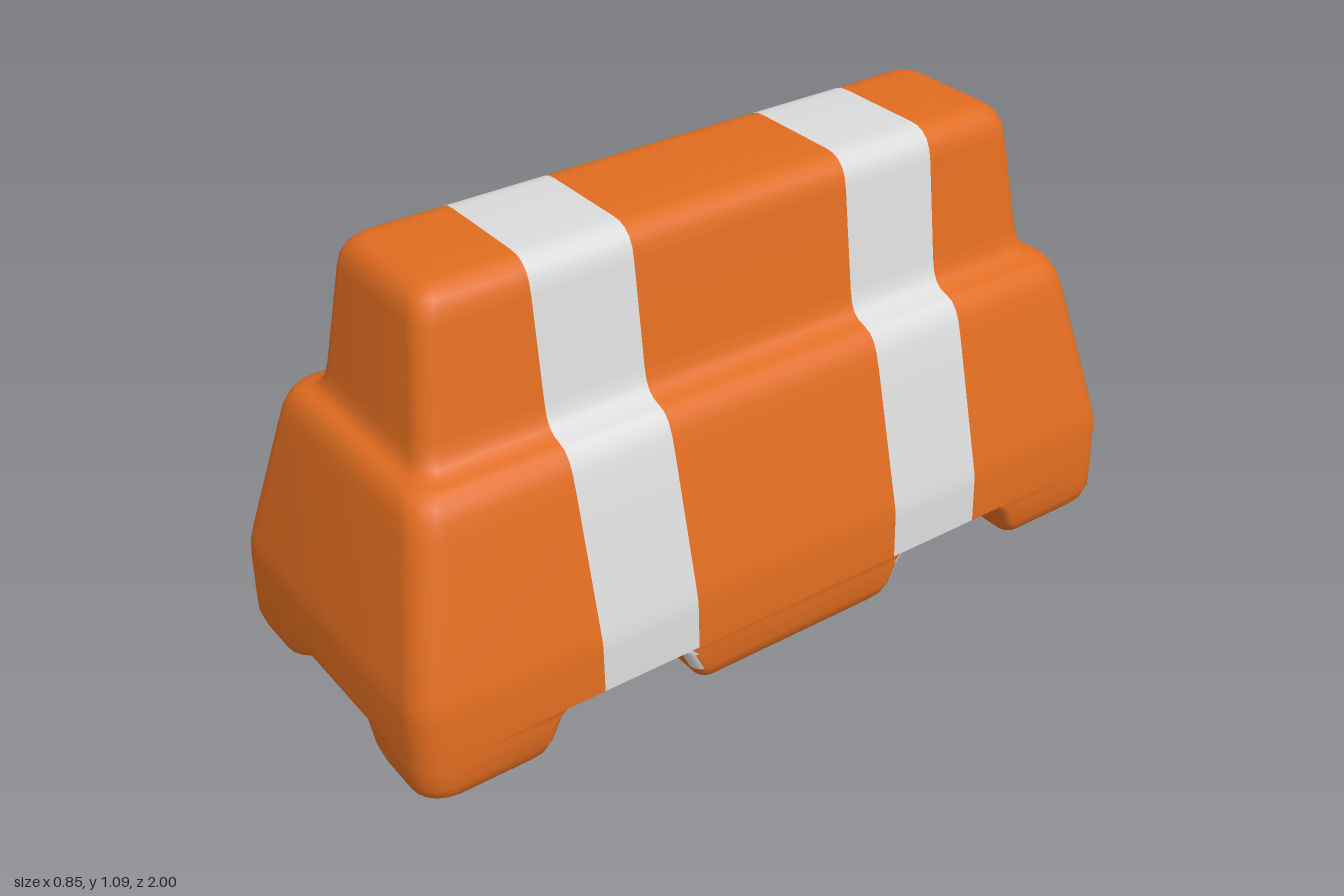
import * as THREE from 'three';
import { toCreasedNormals } from 'three/addons/utils/BufferGeometryUtils.js';

const STRIPE = [0.29, 0.545]; // z range of each reflective band
const ARC = 5;                // segments per rounded corner

// Rounded rectangle at height y: +x half from back to front, then its mirror.
function ring({ y, x0, x1, z0, z1, ra, rb }, cuts) {
  const half = [];
  for (let k = 0; k <= ARC; k++) {
    const a = (k / ARC) * Math.PI / 2;
    half.push([x1 - ra + ra * Math.sin(a), z0 + ra - ra * Math.cos(a)]);
  }
  cuts.forEach(z => half.push([x1, z]));
  for (let k = 0; k <= ARC; k++) {
    const a = (k / ARC) * Math.PI / 2;
    half.push([x1 - rb + rb * Math.cos(a), z1 - rb + rb * Math.sin(a)]);
  }
  const mirror = half.map(([x, z]) => [x0 + x1 - x, z]).reverse();
  return [...half, ...mirror].map(([x, z]) => new THREE.Vector3(x, y, z));
}

// Skin the rings from bottom to top, cap both ends, sort faces by colour.
function loft(name, rows, materials, cuts = []) {
  const rings = rows.map(r => ring(r, cuts));
  const n = rings[0].length, pts = rings.flat();
  const faces = [[], []];
  const quad = (a, b, c, d) => {
    const mid = [a, b, c, d].reduce((s, i) => s.add(pts[i]), new THREE.Vector3()).divideScalar(4);
    const z = Math.abs(mid.z);
    const band = z > STRIPE[0] && z < STRIPE[1] && (mid.y > 0.131 || Math.abs(mid.x) > 0.36);
    faces[band ? 1 : 0].push(a, b, c, a, c, d);
  };
  for (let j = 0; j < rings.length - 1; j++) {
    for (let i = 0; i < n; i++) {
      const k = (i + 1) % n, lo = j * n, hi = lo + n;
      quad(lo + i, hi + i, hi + k, lo + k);
    }
  }
  const top = (rings.length - 1) * n;
  for (let i = 0; i < n / 2 - 1; i++) {
    const m = n - 1 - i;
    quad(top + i, top + m, top + m - 1, top + i + 1);
    quad(i, i + 1, m - 1, m);
  }
  let geo = new THREE.BufferGeometry().setFromPoints(pts);
  geo.setIndex([...faces[0], ...faces[1]]);
  geo = toCreasedNormals(geo, 0.7);
  geo.clearGroups();
  geo.addGroup(0, faces[0].length, 0);
  if (faces[1].length) geo.addGroup(faces[0].length, faces[1].length, 1);
  const mesh = new THREE.Mesh(geo, materials);
  mesh.name = name;
  return mesh;
}

export function createModel() {
  const group = new THREE.Group();
  group.name = 'trafficBarrier';
  const orange = new THREE.MeshStandardMaterial({ color: 0xe06c20 });
  orange.name = 'orange plastic';
  const grey = new THREE.MeshStandardMaterial({ color: 0xdadada });
  grey.name = 'reflective light grey';
  const mats = [orange, grey];

  // Stepped body with the bands: y, half width, half length, corner radius
  const body = [
    [0.13, 0.424, 1.0, 0.07], [0.23, 0.421, 1.0, 0.07], [0.26, 0.419, 0.998, 0.07],
    [0.29, 0.412, 0.993, 0.07], [0.61, 0.333, 0.926, 0.07], [0.645, 0.323, 0.918, 0.07],
    [0.672, 0.311, 0.908, 0.07], [0.69, 0.295, 0.895, 0.065], [0.699, 0.274, 0.878, 0.06],
    [0.705, 0.255, 0.863, 0.055], [0.717, 0.24, 0.853, 0.05], [0.738, 0.229, 0.846, 0.05],
    [0.77, 0.222, 0.84, 0.05], [1.01, 0.19, 0.809, 0.05], [1.04, 0.184, 0.803, 0.05],
    [1.062, 0.173, 0.792, 0.05], [1.077, 0.157, 0.776, 0.045], [1.085, 0.138, 0.757, 0.04],
    [1.087, 0.115, 0.734, 0.035],
  ].map(([y, hx, hz, r]) => ({ y, x0: -hx, x1: hx, z0: -hz, z1: hz, ra: r, rb: r }));
  const cuts = [-STRIPE[1], -STRIPE[0], STRIPE[0], STRIPE[1]];
  group.add(loft('body', body, mats, cuts));

  // Feet: y, inner x, outer x, middle foot half length, corner foot z start, z end
  const foot = [
    [0, 0.215, 0.37, 0.235, 0.73, 0.94], [0.01, 0.185, 0.398, 0.265, 0.70, 0.972],
    [0.03, 0.17, 0.415, 0.278, 0.685, 0.99], [0.06, 0.155, 0.425, 0.296, 0.67, 0.999],
    [0.11, 0.125, 0.424, 0.32, 0.645, 1.0], [0.13, 0.105, 0.424, 0.34, 0.62, 1.0],
  ];
  // Slabs that lower the lengthwise channel: y, half length, end start, end stop
  const slab = [
    [0.1, 0.305, 0.665, 0.982], [0.105, 0.318, 0.65, 0.995],
    [0.115, 0.325, 0.642, 1.0], [0.13, 0.33, 0.635, 1.0],
  ];
  for (const sx of [-1, 1]) {
    const span = (xi, xo) => (sx > 0 ? { x0: xi, x1: xo } : { x0: -xo, x1: -xi });
    group.add(loft('middleFoot', foot.map(([y, xi, xo, h]) =>
      ({ y, ...span(xi, xo), z0: -h, z1: h, ra: 0.03, rb: 0.03 })), mats));
    for (const sz of [-1, 1]) {
      group.add(loft('cornerFoot', foot.map(([y, xi, xo, , a, b]) => sz > 0
        ? { y, ...span(xi, xo), z0: a, z1: b, ra: 0.03, rb: 0.07 }
        : { y, ...span(xi, xo), z0: -b, z1: -a, ra: 0.07, rb: 0.03 }), mats));
    }
  }
  const slabRow = (y, z0, z1) => ({ y, x0: -0.22, x1: 0.22, z0, z1, ra: 0.01, rb: 0.01 });
  group.add(loft('middleChannel', slab.map(([y, h]) => slabRow(y, -h, h)), mats));
  group.add(loft('frontChannel', slab.map(([y, , a, b]) => slabRow(y, a, b)), mats));
  group.add(loft('backChannel', slab.map(([y, , a, b]) => slabRow(y, -b, -a)), mats));
  return group;
}
